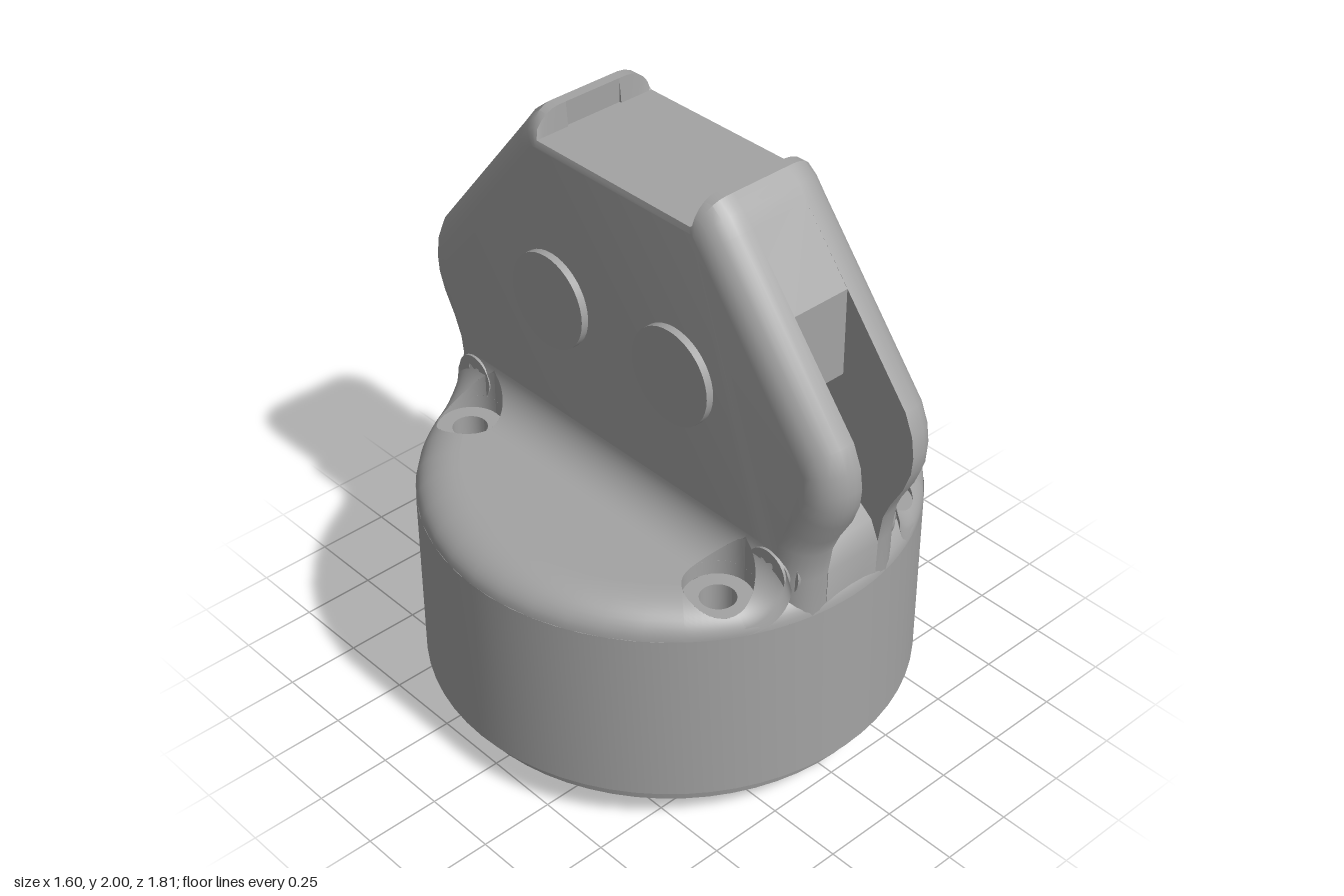
import * as THREE from 'three';
import { toCreasedNormals } from 'three/addons/utils/BufferGeometryUtils.js';

const R = 0.8, HX = 0.34, HZ = 0.575, BORE = 0.108, HOLE = 0.057, FLOOR = 0.81;
const ARM = 0.23, SLOT = 0.105, FIL = 0.13;
const corners = [[1, 1], [-1, 1], [-1, -1], [1, -1]];

// height of the domed rim at radius r, and extra height of the neck fillet at x
const rim = r => 0.76 + 0.1 * (r < 0.66 ? 1 : Math.sqrt(Math.max(0, 1 - ((r - 0.66) / 0.14) ** 2)));
const fillet = x => {
  const d = Math.min(FIL, Math.max(0, ARM + FIL - Math.abs(x)));
  return FIL - Math.sqrt(FIL * FIL - d * d);
};

// grid surface from a rule (u, v in 0..1)
function surface(nu, nv, rule) {
  const pos = [], idx = [];
  for (let i = 0; i <= nu; i++) for (let j = 0; j <= nv; j++) pos.push(...rule(i / nu, j / nv, i));
  for (let i = 0; i < nu; i++) for (let j = 0; j < nv; j++) {
    const a = i * (nv + 1) + j, b = a + nv + 1;
    idx.push(a, a + 1, b, b, a + 1, b + 1);
  }
  const g = new THREE.BufferGeometry();
  g.setAttribute('position', new THREE.Float32BufferAttribute(pos, 3));
  g.setIndex(idx);
  g.computeVertexNormals();
  return g;
}

// mirrored side outline from one half, listed as [z, y]
const mirrored = half => new THREE.Shape([...half, ...half.map(([z, y]) => [-z, y]).reverse()]
  .map(p => new THREE.Vector2(...p)));

export function createModel() {
  const group = new THREE.Group();
  const grey = new THREE.MeshStandardMaterial({ color: 0xa3a3a3, side: THREE.DoubleSide });
  const add = (name, geo) => {
    const m = new THREE.Mesh(geo, grey);
    m.name = name;
    group.add(m);
    return m;
  };

  // round base wall with stepped lower edge
  const wall = [[0.758, 0.09], [0.768, 0.15], [R, 0.15], [R, 0.76]].map(p => new THREE.Vector2(...p));
  add('baseWall', toCreasedNormals(new THREE.LatheGeometry(wall, 64), 0.5));

  // underside plate with the four screw holes
  const plate = new THREE.Shape().absarc(0, 0, 0.758, 0, Math.PI * 2);
  for (const [sx, sz] of corners)
    plate.holes.push(new THREE.Path().absarc(sx * HX, sz * HZ, HOLE, 0, Math.PI * 2, true));
  add('bottomPlate', new THREE.ShapeGeometry(plate, 32).rotateX(Math.PI / 2).translate(0, 0.09, 0));

  // base top: an inner and an outer band that part around each counterbore
  const rc = Math.hypot(HX, HZ), alpha = Math.asin(BORE / rc);
  const columns = [];
  corners.forEach(([sx, sz], k) => {
    const c = Math.atan2(sz * HZ, sx * HX) + (k > 1 ? Math.PI * 2 : 0);
    const [nx, nz] = corners[(k + 1) % 4];
    let next = Math.atan2(nz * HZ, nx * HX);
    while (next < c) next += Math.PI * 2;
    for (let i = 0; i <= 16; i++) columns.push([c, alpha * Math.sin((i / 16 - 0.5) * Math.PI)]);
    for (let i = 1; i < 12; i++) columns.push([c, alpha + (next - c - 2 * alpha) * i / 12]);
  });
  columns.push([columns[0][0] + Math.PI * 2, columns[0][1]]);
  const band = outer => surface(columns.length - 1, 10, (u, v, i) => {
    const [c, d] = columns[i];
    const half = Math.sqrt(Math.max(0, BORE ** 2 - (rc * Math.sin(d)) ** 2));
    const edge = Math.abs(d) <= alpha + 1e-6 ? rc * Math.cos(d) + (outer ? half : -half) : rc * Math.cos(alpha);
    const r = outer ? edge + (R - edge) * Math.sin(v * Math.PI / 2) : edge * v;
    return [r * Math.cos(c + d), rim(r), r * Math.sin(c + d)];
  });
  add('baseTop', band(false));
  add('baseRim', band(true));

  // counterbores with through holes
  for (const [sx, sz] of corners) {
    const ring = (u, r) => [sx * HX + r * Math.cos(u * Math.PI * 2), sz * HZ + r * Math.sin(u * Math.PI * 2)];
    add('counterboreWall', surface(40, 1, (u, v) => {
      const [x, z] = ring(u, BORE);
      return [x, v ? rim(Math.hypot(x, z)) + fillet(x) : FLOOR, z];
    }));
    add('counterboreFloor', surface(32, 1, (u, v) => {
      const [x, z] = ring(u, v ? BORE : HOLE);
      return [x, FLOOR, z];
    }));
    add('screwHole', surface(32, 1, (u, v) => {
      const [x, z] = ring(u, HOLE);
      return [x, v ? FLOOR : 0.09, z];
    }));
  }

  // concave fillets between base and neck, trimmed by the counterbores
  const trim = x => Math.sqrt(Math.max(0, BORE ** 2 - (x - HX) ** 2));
  const filletX = u => ARM + FIL * (1 - Math.cos(u * Math.PI / 2));
  for (const s of [1, -1]) {
    add('neckFillet', surface(16, 8, (u, v) => {
      const x = filletX(u), z = (HZ - trim(x)) * (2 * v - 1);
      return [s * x, rim(Math.hypot(x, z)) + fillet(x), z];
    }));
    for (const e of [1, -1]) add('neckFilletEnd', surface(16, 8, (u, v) => {
      const x = filletX(u), a = HZ + trim(x), z = a + (Math.sqrt(R * R - x * x) - a) * v;
      return [s * x, rim(Math.hypot(x, z)) + fillet(x), e * z];
    }));
  }

  // cheeks: rounded outer edge, flat inner face, notch across the top
  const crown = [[0.45, 1.92], [0.415, 1.965], [0.37, 2], [0.334, 2]];
  const cheekShape = mirrored([[0.785, 0.6], [0.79, 0.9], [0.805, 1], [0.83, 1.06], [0.875, 1.14],
    [0.9, 1.21], [0.905, 1.27], [0.895, 1.34], [0.865, 1.41], ...crown, [0.326, 2]]);
  const cheek = new THREE.ExtrudeGeometry(cheekShape, { depth: 0.26, bevelThickness: 0.1, bevelSize: 0.1,
    bevelOffset: -0.1, bevelSegments: 6 }).translate(0, 0, -0.13).rotateY(Math.PI / 2);
  const p = cheek.attributes.position;
  for (let i = 0; i < p.count; i++) {
    p.setX(i, Math.max(p.getX(i), SLOT));
    if (Math.abs(p.getZ(i)) < 0.33) p.setY(i, Math.min(p.getY(i), p.getY(i) > 1.5 ? 1.92 : 9));
  }
  const cheekGeo = toCreasedNormals(cheek, 0.6);
  add('leftCheek', cheekGeo);
  add('rightCheek', cheekGeo).rotation.y = Math.PI;

  // core between the cheeks, with a round hollow at the back of each slot
  const hollow = [];
  for (let i = 0; i <= 12; i++) {
    const a = -Math.PI / 2 - Math.PI * i / 12;
    hollow.push([0.62 + 0.15 * Math.cos(a), 1.27 + 0.15 * Math.sin(a)]);
  }
  const coreShape = mirrored([[0.785, 0.6], [0.792, 0.9], [0.76, 0.97], [0.68, 1.03], ...hollow,
    [0.62, 1.71], ...crown, [0.334, 1.92]]);
  const core = new THREE.ExtrudeGeometry(coreShape, { depth: 2 * SLOT, bevelEnabled: false })
    .translate(0, 0, -SLOT).rotateY(Math.PI / 2);
  add('armCore', toCreasedNormals(core, 0.6));

  // pivot pins through the arm
  for (const z of [0.27, -0.27])
    add('pivotPin', new THREE.CylinderGeometry(0.16, 0.16, 0.51, 40).rotateZ(Math.PI / 2).translate(0, 1.4, z));

  // side screws with a six-lobed socket
  const lobes = [];
  for (let i = 0; i < 36; i++) {
    const a = -i / 36 * Math.PI * 2, r = 0.036 + 0.008 * Math.cos(6 * a);
    lobes.push(new THREE.Vector2(r * Math.cos(a), r * Math.sin(a)));
  }
  const head = new THREE.Shape().absarc(0, 0, 0.075, 0, Math.PI * 2);
  head.holes.push(new THREE.Path(lobes));
  const headGeo = toCreasedNormals(new THREE.ExtrudeGeometry(head, { depth: 0.035, bevelEnabled: false,
    curveSegments: 16 }).rotateY(Math.PI / 2), 0.6);
  for (const [sx, sz] of corners) {
    add('screwSeat', new THREE.CylinderGeometry(0.098, 0.098, 0.1, 32).rotateZ(Math.PI / 2)
      .translate(sx * 0.155, 0.91, sz * 0.67));
    const screw = add('screwHead', headGeo);
    screw.position.set(sx * 0.204, 0.91, sz * 0.67);
    screw.rotation.y = sx > 0 ? 0 : Math.PI;
  }

  // locating pin under the base
  add('locatingPin', new THREE.CylinderGeometry(0.042, 0.042, 0.1, 24).translate(0, 0.05, 0.65));
  return group;
}
